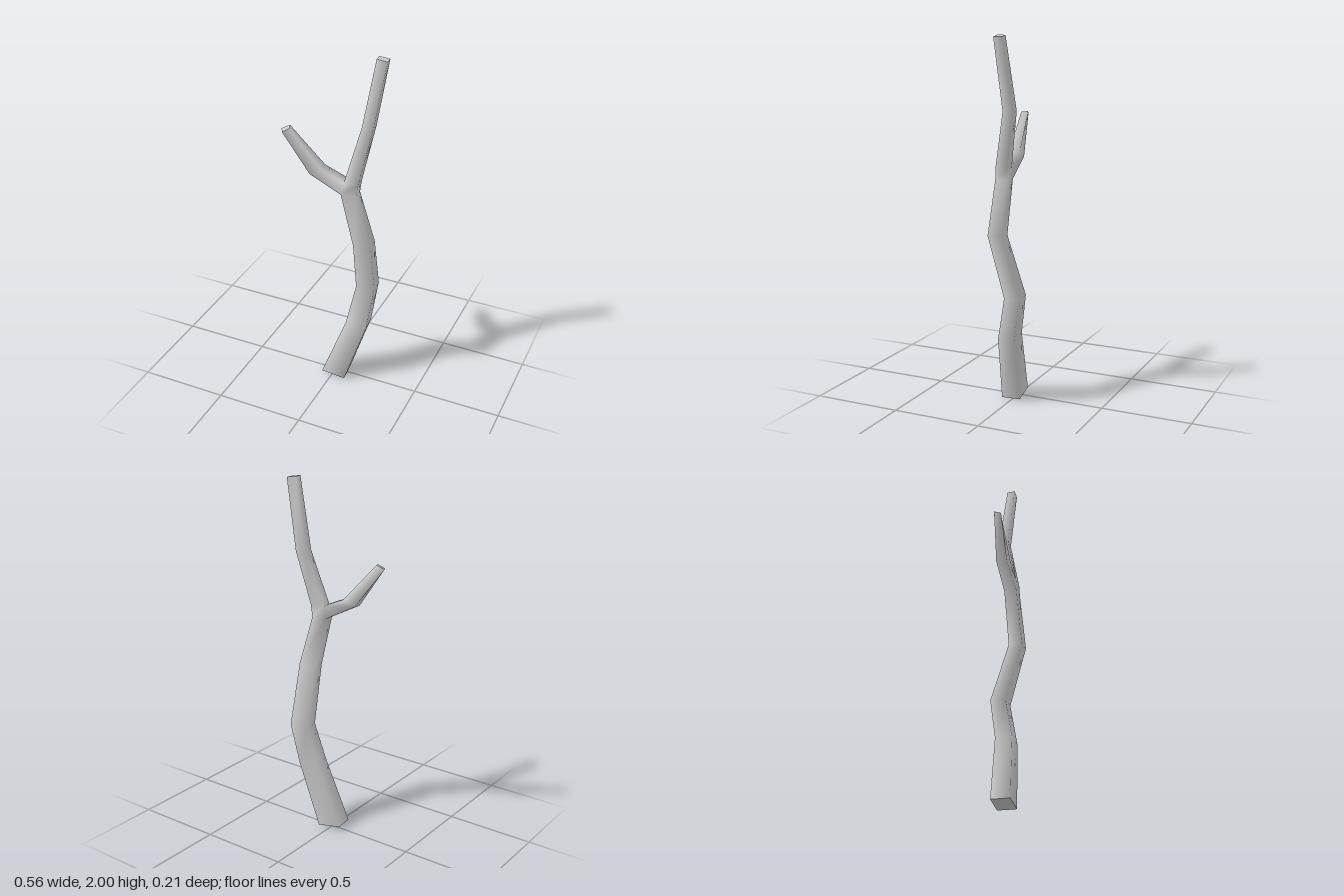
import * as THREE from 'three';

// Trunk cross-sections: centre x, y, z, width, depth, slope of the section along x
const TRUNK = [
  [0.0075, 0.0125, 0.018, 0.136, 0.105, -0.17],
  [0.135, 0.385, -0.012, 0.121, 0.093, -0.1],
  [0.168, 0.62, -0.058, 0.107, 0.085, 0],
  [0.182, 0.95, 0.038, 0.098, 0.075, 0.1],
  [0.1, 1.24, 0.038, 0.084, 0.069, 0],
  [0.112, 1.31, 0.034, 0.079, 0.063, 0],
  [0.172, 1.61, -0.03, 0.062, 0.055, 0],
  [0.249, 1.995, -0.01, 0.056, 0.045, -0.15],
];
const FORK = 4; // the side branch leaves between this section and the next
const YAW = 0.09;

// Four corners: back right-hand, back left-hand, front left-hand, front right-hand
function section([cx, cy, cz, w, d, slope]) {
  const c = Math.cos(YAW), s = Math.sin(YAW);
  return [[-1, -1], [1, -1], [1, 1], [-1, 1]].map(([i, j]) => {
    const x = i * w / 2, z = j * d / 2;
    return new THREE.Vector3(cx + x * c + z * s, cy + x * slope, cz - x * s + z * c);
  });
}

function geometryFrom(points, index) {
  const g = new THREE.BufferGeometry().setFromPoints(points);
  g.setIndex(index);
  g.computeVertexNormals();
  return g;
}

export function createModel() {
  const group = new THREE.Group();
  group.name = 'forkedBranch';
  const material = new THREE.MeshStandardMaterial({ color: 0xcccccc });
  const points = [], index = [];

  const addRing = (corners) => corners.map((p) => points.push(p) - 1);
  const joinRings = (lo, hi, skip = -1) => {
    for (let k = 0; k < 4; k++) {
      if (k === skip) continue;
      const n = (k + 1) % 4;
      index.push(lo[n], lo[k], hi[k], lo[n], hi[k], hi[n]);
    }
  };

  // Main stem, left open where the side branch joins
  const rings = TRUNK.map((t) => addRing(section(t)));
  for (let i = 0; i < rings.length - 1; i++) joinRings(rings[i], rings[i + 1], i === FORK ? 3 : -1);

  // Side branch grows out of the open face of the stem
  const lower = rings[FORK], upper = rings[FORK + 1];
  const root = [upper[0], upper[3], lower[3], lower[0]];
  const V = (x, y, z) => new THREE.Vector3(x, y, z);
  const elbow = addRing([V(-0.055, 1.366, 0.018), V(-0.045, 1.362, 0.08), V(-0.115, 1.328, 0.085), V(-0.125, 1.336, 0.025)]);
  const tip = addRing([V(-0.24, 1.575, 0.053), V(-0.225, 1.572, 0.088), V(-0.262, 1.55, 0.103), V(-0.281, 1.555, 0.07)]);
  joinRings(root, elbow);
  joinRings(elbow, tip);

  const bark = new THREE.Mesh(geometryFrom(points, index), material);
  bark.name = 'stemAndSideBranch';
  group.add(bark);

  // Flat cut ends
  const addCut = (name, ring, idx) => {
    const cut = new THREE.Mesh(geometryFrom(ring.map((i) => points[i]), idx), material);
    cut.name = name;
    group.add(cut);
  };
  const outward = [3, 2, 1, 3, 1, 0];
  addCut('baseCut', rings[0], [0, 1, 2, 0, 2, 3]);
  addCut('topCut', rings[rings.length - 1], outward);
  addCut('sideBranchCut', tip, outward);
  return group;
}
